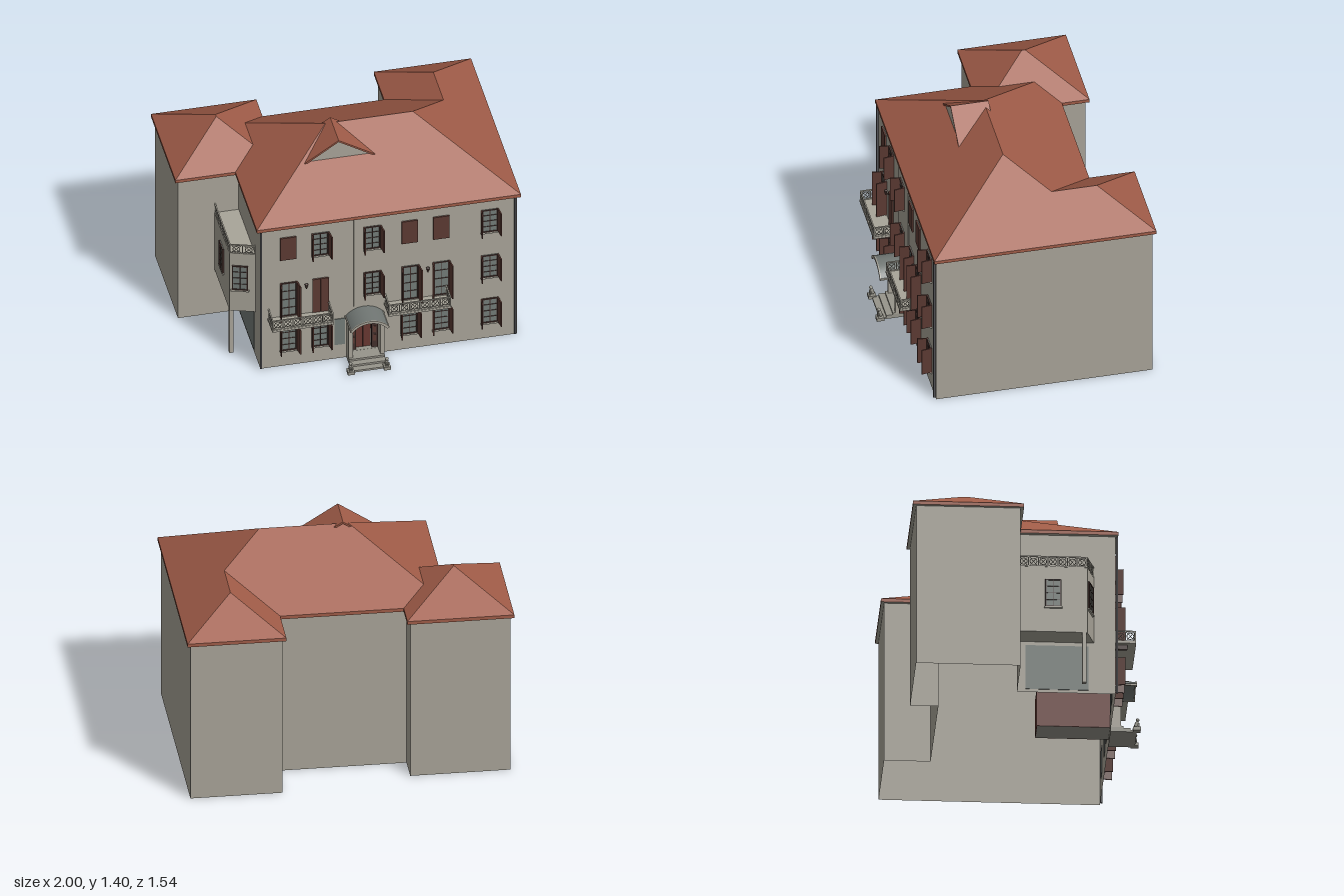
import * as THREE from 'three';

const mat = (name, color, double = false) => {
  const m = new THREE.MeshStandardMaterial({ color });
  m.name = name;
  if (double) m.side = THREE.DoubleSide;
  return m;
};

export function createModel() {
  const root = new THREE.Group();
  root.name = 'villa';
  const stucco = mat('stucco', 0xa9a599, true);
  const tile = mat('roofTile', 0xa05c48, true);
  const wood = mat('shutterWood', 0x5c3a33);
  const doorRed = mat('doorWood', 0x693831, true);
  const glass = mat('glass', 0x747c78);
  const dark = mat('darkFrame', 0x43302c);
  const pipe = mat('drainPipe', 0x55565a);
  const canopyMetal = mat('canopyMetal', 0x717774, true);
  const stone = mat('stone', 0x97958b);

  const add = (name, geo, material, parent = root) => {
    const m = new THREE.Mesh(geo, material);
    m.name = name;
    parent.add(m);
    return m;
  };
  const group = (name, x, y, z, ry = 0, parent = root) => {
    const g = new THREE.Group();
    g.name = name;
    g.position.set(x, y, z);
    g.rotation.y = ry;
    parent.add(g);
    return g;
  };
  // Box given by its limits
  const box = (name, x0, x1, y0, y1, z0, z1, material, parent = root) => {
    const m = add(name, new THREE.BoxGeometry(x1 - x0, y1 - y0, z1 - z0), material, parent);
    m.position.set((x0 + x1) / 2, (y0 + y1) / 2, (z0 + z1) / 2);
    return m;
  };
  // Prism over a plan outline of [x, z] points
  const prism = (name, pts, y0, y1, material) => {
    const s = new THREE.Shape(pts.map(([x, z]) => new THREE.Vector2(x, -z)));
    const geo = new THREE.ExtrudeGeometry(s, { depth: y1 - y0, bevelEnabled: false });
    geo.rotateX(-Math.PI / 2).translate(0, y0, 0);
    return add(name, geo, material);
  };

  // Outer walls, open underneath
  const F = 0.585, TOP = 1.05;
  const plan = [[-0.605, F], [-0.605, -0.01], [-0.98, -0.01], [-0.98, -0.64], [-0.37, -0.64],
    [-0.37, -0.47], [0.42, -0.47], [0.42, -0.75], [0.98, -0.75], [0.98, F]];
  for (let i = 0; i + 1 < plan.length; i++) {
    const [ax, az] = plan[i], [bx, bz] = plan[i + 1];
    const w = add('wall', new THREE.PlaneGeometry(Math.hypot(bx - ax, bz - az), TOP), stucco);
    w.position.set((ax + bx) / 2, TOP / 2, (az + bz) / 2);
    w.rotation.y = Math.atan2(bz - az, ax - bx);
  }
  const rect = (C, x0, x1, y0, y1) => new C([[x0, y0], [x1, y0], [x1, y1], [x0, y1]]
    .map(([x, y]) => new THREE.Vector2(x, y)));
  const front = rect(THREE.Shape, -0.605, 0.98, 0, TOP);
  front.holes.push(rect(THREE.Path, -0.05, 0.12, 0.04, 0.28));
  add('frontWall', new THREE.ShapeGeometry(front), stucco).position.z = F;
  box('centreBay', -0.03, 0.235, 0.38, TOP, F, F + 0.006, stucco);

  // Eaves band following the plan, then the hipped roofs
  prism('eaves', [[-0.63, 0.6], [-0.63, 0.01], [-1, 0.01], [-1, -0.66], [-0.35, -0.66], [-0.35, -0.49],
    [0.4, -0.49], [0.4, -0.77], [1, -0.77], [1, 0.6]], 1.045, 1.067, [stucco, tile]);
  const hip = (name, x0, x1, z0, z1) => {
    const y = 1.067, r = Math.min(x1 - x0, z1 - z0) / 2, h = y + r * 0.575;
    const A = [x0, y, z0], B = [x1, y, z0], C = [x1, y, z1], D = [x0, y, z1];
    const alongX = x1 - x0 > z1 - z0;
    const P = [x0 + r, h, z0 + r], Q = [x1 - r, h, z1 - r];
    const faces = alongX
      ? [D, C, Q, D, Q, P, B, A, P, B, P, Q, A, D, P, C, B, Q]
      : [A, D, Q, A, Q, P, C, B, P, C, P, Q, B, A, P, D, C, Q];
    const geo = new THREE.BufferGeometry();
    geo.setAttribute('position', new THREE.Float32BufferAttribute(faces.flat(), 3));
    geo.computeVertexNormals();
    add(name, geo, tile);
  };
  hip('mainRoof', -0.63, 1, -0.49, 0.6);
  hip('backWingRoof', 0.4, 1, -0.77, 0.13);
  hip('sideWingRoof', -1, -0.35, -0.66, 0.01);

  // Gabled dormer
  const gable = (pts, depth) => new THREE.ExtrudeGeometry(
    new THREE.Shape(pts.map(([x, y]) => new THREE.Vector2(x, y))), { depth, bevelEnabled: false });
  add('dormerRoof', gable([[-0.265, 1.258], [-0.245, 1.258], [-0.05, 1.39], [0.16, 1.258], [0.18, 1.258],
    [-0.05, 1.402]], 0.235), tile).position.z = 0.03;
  add('dormerGable', gable([[-0.245, 1.258], [0.16, 1.258], [-0.05, 1.39]], 0.2), stucco).position.z = 0.055;

  // Windows: glass through the wall, frame, glazing bars and open shutters
  const window_ = (x, y0, y1, z = F, ry = 0, shutters = true) => {
    const g = group('window', x, y0, z, ry), w = 0.045, h = y1 - y0;
    box('pane', -w, w, 0, h, -0.003, 0.004, glass, g);
    for (const s of [-1, 1]) box('jamb', s * w - 0.004, s * w + 0.004, 0, h, 0, 0.01, dark, g);
    for (const y of [0, h - 0.006]) box('frameRail', -w, w, y, y + 0.006, 0, 0.01, dark, g);
    box('mullion', -0.002, 0.002, 0, h, 0, 0.008, dark, g);
    for (let i = 1; i < 4; i++) box('glazingBar', -w, w, h * i / 4 - 0.001, h * i / 4 + 0.001, 0, 0.008, dark, g);
    box('sill', -0.056, 0.056, -0.01, 0, 0, 0.012, stucco, g);
    if (shutters) for (const s of [-1, 1]) {
      const leaf = group('shutter', s * 0.05, 0, 0, s * 0.14, g);
      box('shutterLeaf', -0.004, 0.004, 0, h, 0, 0.066, wood, leaf);
    }
  };
  const closed = (x, y0, y1) => {
    const g = group('closedShutters', x, y0, F);
    box('pane', -0.045, 0.045, 0, y1 - y0, -0.003, 0.002, glass, g);
    for (const s of [-1, 1]) box('shutterLeaf', s * 0.025 - 0.0245, s * 0.025 + 0.0245, 0, y1 - y0, 0.002, 0.011, wood, g);
  };
  for (const x of [-0.43, -0.235, 0.315, 0.51, 0.81]) window_(x, 0.118, 0.3);
  for (const x of [-0.43, 0.32, 0.51]) window_(x, 0.38, 0.63);
  closed(-0.235, 0.38, 0.63);
  window_(0.085, 0.465, 0.63, F + 0.006);
  window_(0.81, 0.465, 0.63);
  for (const x of [-0.435, 0.315, 0.51]) closed(x, 0.808, 0.975);
  for (const x of [-0.235, 0.81]) window_(x, 0.808, 0.975);
  window_(0.085, 0.808, 0.975, F + 0.006);
  box('sidePanel', -0.148, -0.085, 0.105, 0.3, F - 0.003, F + 0.005, glass);

  // Ornamental railing running along local +x
  const railing = (x, y, z, len, ry = 0) => {
    const g = group('railing', x, y, z, ry), h = 0.072, n = Math.max(1, Math.round(len / 0.063)), s = len / n;
    for (const yy of [0, h - 0.007]) box('rail', 0, len, yy, yy + 0.007, -0.004, 0.004, stucco, g);
    for (let i = 0; i <= n; i++) box('railPost', i * s - 0.003, i * s + 0.003, 0, h, -0.004, 0.004, stucco, g);
    for (let i = 0; i < n; i++) {
      const cx = (i + 0.5) * s;
      add('ring', new THREE.TorusGeometry(0.021, 0.0025, 4, 12), stucco, g).position.set(cx, h / 2, 0);
      for (const a of [-1, 1]) {
        const bar = add('cross', new THREE.BoxGeometry(Math.hypot(s, h) - 0.012, 0.003, 0.003), stucco, g);
        bar.position.set(cx, h / 2, 0);
        bar.rotation.z = a * Math.atan2(h, s);
      }
    }
  };
  // Front balconies on brackets
  for (const [x0, x1] of [[-0.56, -0.18], [0.158, 0.546]]) {
    box('balconySlab', x0, x1, 0.362, 0.376, F, 0.712, stucco);
    railing(x0 + 0.005, 0.374, 0.706, x1 - x0 - 0.01);
    for (const x of [x0 + 0.005, x1 - 0.005]) railing(x, 0.374, 0.706, 0.118, Math.PI / 2);
    for (const x of [x0 + 0.035, x1 - 0.035]) box('bracket', x - 0.008, x + 0.008, 0.333, 0.362, F, 0.66, dark);
  }

  // Entrance recess, door and glazed side screens
  box('recessFloor', -0.05, 0.12, 0.036, 0.04, 0.145, F, stone);
  box('recessCeiling', -0.05, 0.12, 0.28, 0.284, 0.145, F, doorRed);
  for (const x of [-0.052, 0.12]) box('recessSide', x, x + 0.003, 0.036, 0.284, 0.145, F, doorRed);
  box('recessBack', -0.05, 0.12, 0.036, 0.284, 0.142, 0.146, doorRed);
  box('door', -0.012, 0.082, 0.04, 0.245, 0.545, 0.555, doorRed);
  box('doorMeeting', 0.033, 0.037, 0.04, 0.245, 0.555, 0.56, dark);
  for (const x of [-0.05, 0.084]) {
    box('sideScreen', x, x + 0.036, 0.04, 0.28, 0.56, 0.575, dark);
    for (const y of [0.09, 0.155, 0.22]) box('screenPane', x + 0.009, x + 0.027, y, y + 0.045, 0.574, 0.578, wood);
  }
  box('transom', -0.05, 0.12, 0.245, 0.28, 0.555, 0.573, dark);

  // Porch piers and arched canopy
  for (const x of [-0.075, 0.121]) box('porchPier', x, x + 0.026, 0.03, 0.31, F, 0.65, stucco);
  const arc = (r0, r1, depth) => {
    const s = new THREE.Shape();
    s.absarc(0, 0, r1, 0.64, Math.PI - 0.64, false);
    s.absarc(0, 0, r0, Math.PI - 0.64, 0.64, true);
    return new THREE.ExtrudeGeometry(s, { depth, bevelEnabled: false, curveSegments: 16 });
  };
  add('canopy', arc(0.142, 0.149, 0.155), canopyMetal).position.set(0.035, 0.22, F);
  add('canopyRim', arc(0.134, 0.151, 0.008), stucco).position.set(0.035, 0.22, 0.738);
  for (const x of [-0.085, 0.145]) box('canopyBeam', x, x + 0.01, 0.305, 0.316, F, 0.745, stucco);

  // Steps with seated statues on plinths
  for (let i = 0; i < 3; i++)
    box('step', -0.075, 0.145, 0, 0.013 * (i + 1), F, 0.745 - i * 0.04, stone);
  for (const x of [-0.085, 0.138]) {
    box('plinth', x - 0.02, x + 0.022, 0, 0.022, 0.72, 0.767, stone);
    const g = group('statue', x, 0.022, 0.745);
    const body = add('statueBody', new THREE.CapsuleGeometry(0.011, 0.022, 3, 8), stone, g);
    body.position.set(0, 0.022, -0.004);
    body.rotation.x = 0.3;
    add('statueHead', new THREE.SphereGeometry(0.011, 8, 6), stone, g).position.set(0, 0.052, 0.004);
    for (const s of [-1, 1]) box('statueLeg', s * 0.007 - 0.003, s * 0.007 + 0.003, 0, 0.028, 0.006, 0.013, stone, g);
  }

  // Drain pipes and wall lamps
  for (const x of [-0.603, 0.966])
    add('drainPipe', new THREE.CylinderGeometry(0.007, 0.007, 1.035, 8), pipe).position.set(x, 0.525, F + 0.008);
  for (const x of [-0.325, 0.425]) {
    const g = group('wallLamp', x, 0.595, F + 0.018);
    add('lantern', new THREE.CylinderGeometry(0.011, 0.006, 0.024, 6), dark, g);
    add('lampCap', new THREE.ConeGeometry(0.012, 0.01, 6), dark, g).position.y = 0.017;
    box('lampArm', -0.002, 0.002, -0.02, -0.01, -0.018, 0.003, dark, g);
  }

  // Side bay raised on a post, with a railed terrace above
  const bay = [[-0.755, -0.01], [-0.755, 0.405], [-0.605, 0.455], [-0.605, -0.01]];
  prism('sideBay', bay, 0.335, 0.765, stucco);
  box('bayPost', -0.755, -0.73, 0.005, 0.335, 0.375, 0.4, stucco);
  box('gardenDoor', -0.609, -0.602, 0.02, 0.31, 0.04, 0.42, glass);
  const slant = -Math.atan2(0.05, 0.15);
  railing(-0.752, 0.765, 0.403, 0.152, slant);
  railing(-0.752, 0.765, 0.403, 0.41, Math.PI / 2);
  window_(-0.695, 0.5, 0.68, 0.426, slant, false);
  window_(-0.755, 0.5, 0.68, 0.2, -Math.PI / 2, false);
  return root;
}
